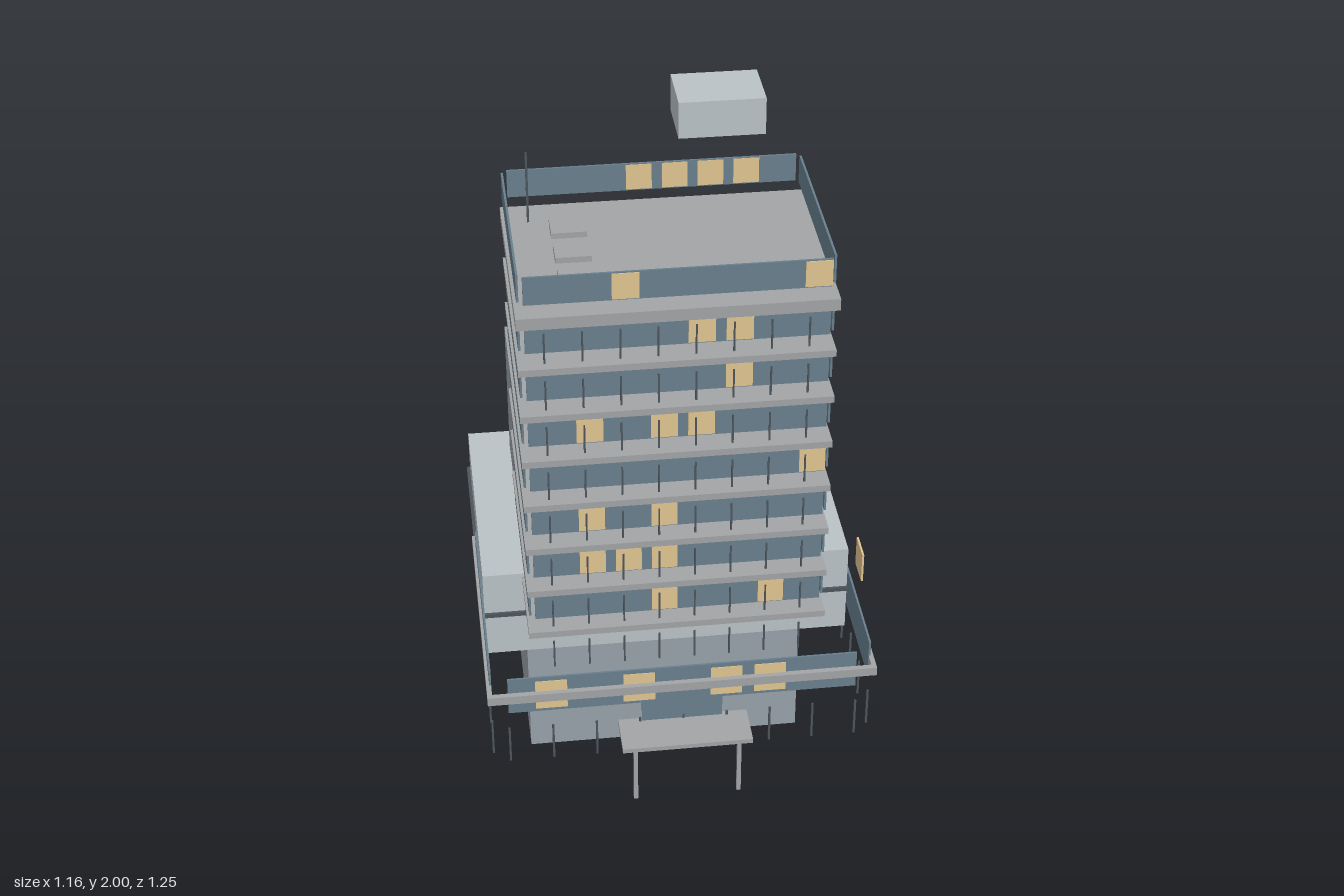
import * as THREE from 'three';

const mat = (color) => new THREE.MeshStandardMaterial({ color });

export function createModel() {
  const model = new THREE.Group();
  const wall = mat(0x98a1a9), stone = mat(0xbac2c6), slab = mat(0xa2a4a5);
  const glass = mat(0x687f8d), lit = mat(0xe0c691), dark = mat(0x4d555b);

  // Box given by its extents on each axis
  const box = (name, x0, x1, y0, y1, z0, z1, material, parent = model) => {
    const mesh = new THREE.Mesh(new THREE.BoxGeometry(x1 - x0, y1 - y0, z1 - z0), material);
    mesh.position.set((x0 + x1) / 2, (y0 + y1) / 2, (z0 + z1) / 2);
    mesh.name = name;
    parent.add(mesh);
    return mesh;
  };
  const post = (name, x, z, y0, y1, r, material, parent = model) =>
    box(name, x - r, x + r, y0, y1, z - r, z + r, material, parent);
  const group = (name) => {
    const g = new THREE.Group();
    g.name = name;
    model.add(g);
    return g;
  };

  // Solid masses
  box('core', -0.44, 0.385, 0, 1.16, -0.53, 0.05, wall);
  box('rearPodium', -0.565, 0.51, 0.44, 0.725, -0.612, 0.13, stone);
  box('rearPodiumBand', -0.575, 0.52, 0.577, 0.59, -0.625, 0.138, dark);

  // Tower: floor slabs, glass strips on four sides, short mullions front and back
  const tower = group('tower');
  const pitch = 0.1457;
  const litFront = [[-0.065, 0.235], [-0.265, -0.165, -0.065], [-0.265, -0.065], [0.34],
    [-0.265, -0.065, 0.035], [0.135], [0.035, 0.135], [-0.165, 0.34]];
  const litBack = [[], [], [], [0.34, -0.265], [-0.065], [0.235, -0.265],
    [0.34, -0.065, -0.165], [0.235, 0.135, 0.035, -0.065]];
  for (let i = 0; i < 8; i++) {
    const ys = 0.705 + pitch * i;
    if (i < 7) box('floorSlab', -0.45, 0.393, ys - 0.01, ys + 0.01, -0.2, 0.395, slab, tower);
    else box('roofSlab', -0.452, 0.398, 1.713, 1.748, -0.203, 0.398, slab, tower);

    const y0 = 0.759 + 0.1462 * i, y1 = y0 + 0.082;
    box('frontGlass', -0.43, 0.375, y0, y1, 0.382, 0.388, glass, tower);
    box('backGlass', -0.43, 0.375, y0, y1, -0.2, -0.194, glass, tower);
    for (const x of [-0.443, 0.385])
      box('sideGlass', x - 0.003, x + 0.003, y0, y1, -0.185, 0.37, glass, tower);
    for (const x of litFront[i])
      box('litWindow', x - 0.036, x + 0.036, y0 + 0.003, y1 - 0.003, 0.381, 0.39, lit, tower);
    for (const x of litBack[i])
      box('litWindow', x - 0.036, x + 0.036, y0 + 0.003, y1 - 0.003, -0.202, -0.193, lit, tower);

    const ym = 0.63 + pitch * i;
    for (let k = 0; k < 8; k++)
      for (const z of [0.389, -0.201])
        post('mullion', -0.38 + 0.1 * k, z, ym - 0.045, ym + 0.045, 0.0025, dark, tower);
  }

  // Podium: glass strips, surrounding band and hanging mullions
  const podium = group('podium');
  box('podiumFrontGlass', -0.522, 0.468, 0.525, 0.645, 0.502, 0.508, glass, podium);
  box('podiumFrontBand', -0.58, 0.525, 0.57, 0.597, 0.508, 0.524, slab, podium);
  for (const s of [-1, 1]) {
    const xg = -0.0275 + 0.541 * s, xb = -0.0275 + 0.5455 * s;
    box('podiumSideGlass', xg - 0.003, xg + 0.003, 0.525, 0.645, -0.2, 0.467, glass, podium);
    box('podiumSideBand', xb - 0.007, xb + 0.007, 0.57, 0.597, -0.245, 0.524, slab, podium);
    for (let k = 0; k < 6; k++)
      post('podiumSideMullion', xg, 0.47 - 0.1315 * k, 0.35, 0.47, 0.003, dark, podium);
  }
  for (let k = 0; k < 9; k++)
    for (const z of [0.508, -0.235])
      post('podiumMullion', -0.522 + 0.124 * k, z, 0.35, 0.47, 0.003, dark, podium);
  for (const x of [-0.4, -0.152, 0.096, 0.22])
    box('podiumLitWindow', x - 0.045, x + 0.045, 0.535, 0.632, 0.501, 0.51, lit, podium);
  box('sideLitWindow', 0.572, 0.578, 0.535, 0.632, -0.048, 0.043, lit, podium);

  // Entrance with canopy on two posts
  const entrance = group('entrance');
  box('entranceGlass', -0.145, 0.085, 0.45, 0.59, 0.502, 0.507, glass, entrance);
  box('canopy', -0.212, 0.157, 0.443, 0.457, 0.495, 0.624, slab, entrance);
  for (const x of [-0.175, 0.12]) post('canopyPost', x, 0.608, 0.26, 0.445, 0.006, slab, entrance);

  // Rooftop equipment
  const roof = group('rooftop');
  for (const z of [-0.048, 0.085, 0.217])
    box('roofUnit', -0.325, -0.227, 1.74, 1.765, z - 0.04, z + 0.04, slab, roof);
  post('antenna', -0.38, -0.112, 1.74, 1.96, 0.003, dark, roof);
  box('upperPlantRoom', 0.056, 0.302, 1.89, 2, -0.458, -0.276, stone, roof);

  return model;
}
